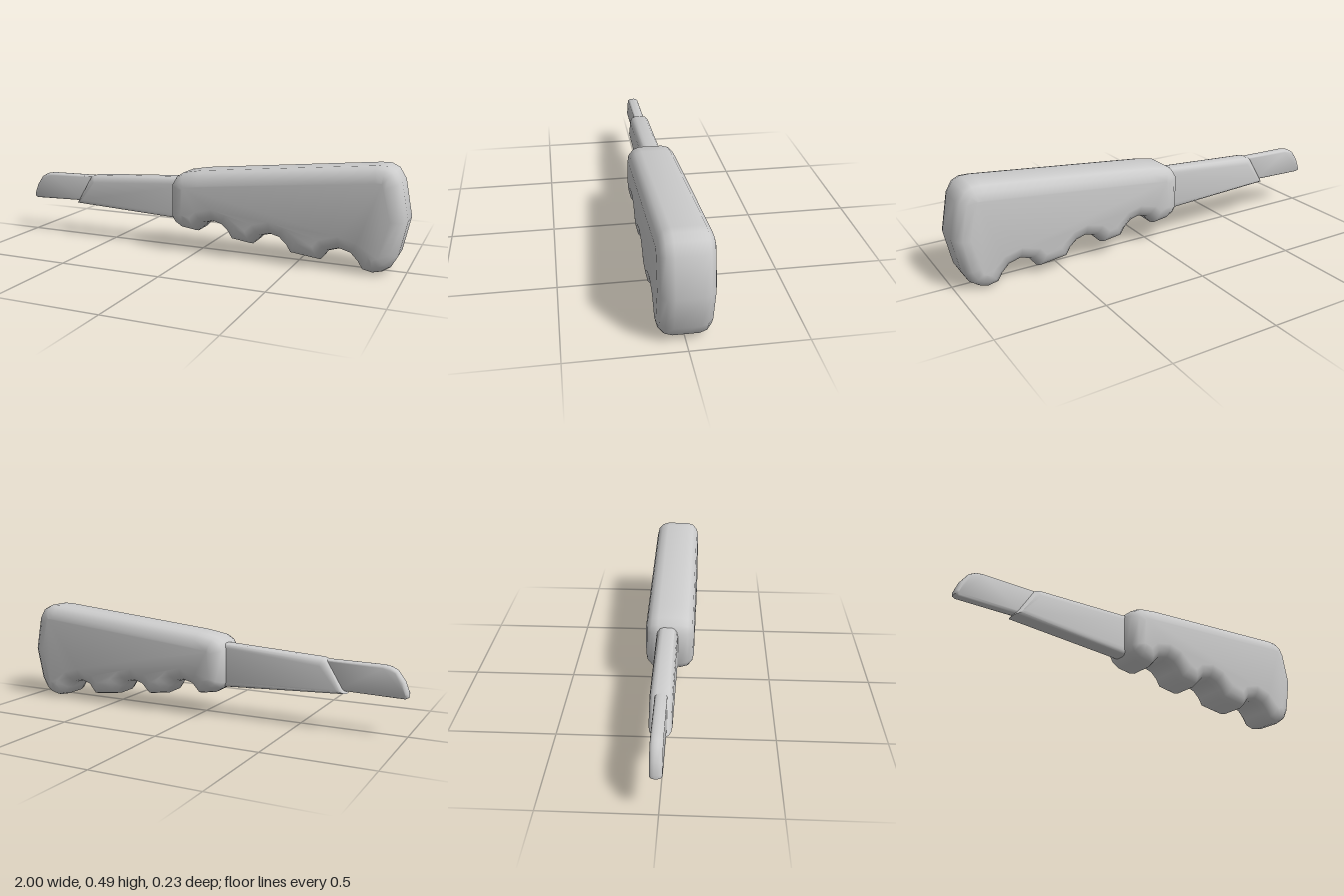
import * as THREE from 'three';
import { toCreasedNormals } from 'three/addons/utils/BufferGeometryUtils.js';

// Slab with rounded rims: the outline is its full silhouette, z0..z1 its thickness
function roundedSlab(name, outline, z0, z1, bevelSize, bevelThickness) {
  const shape = new THREE.Shape(outline.map(([x, y]) => new THREE.Vector2(x, y)));
  const geometry = new THREE.ExtrudeGeometry(shape, {
    depth: z1 - z0 - 2 * bevelThickness,
    bevelSize,
    bevelThickness,
    bevelOffset: -bevelSize,
    bevelSegments: 3,
  });
  geometry.translate(0, 0, z0 + bevelThickness);
  const mesh = new THREE.Mesh(
    toCreasedNormals(geometry, 1.05),
    new THREE.MeshStandardMaterial({ color: 0xcccccc })
  );
  mesh.name = name;
  return mesh;
}

export function createModel() {
  const model = new THREE.Group();
  model.name = 'utilityKnife';

  // Handle, counter-clockwise from the front lower corner
  const handle = [
    [-0.137, 0.17], [-0.12, 0.14], [-0.08, 0.115],
    // first finger notch
    [0, 0.104], [0.04, 0.148], [0.088, 0.16], [0.128, 0.149], [0.158, 0.122], [0.182, 0.084],
    // second finger notch
    [0.285, 0.07], [0.33, 0.116], [0.377, 0.128], [0.418, 0.117], [0.45, 0.089], [0.474, 0.05],
    // third finger notch
    [0.617, 0.033], [0.655, 0.08], [0.705, 0.095], [0.755, 0.081], [0.787, 0.048],
    // butt end
    [0.81, 0.011], [0.86, 0], [0.9, 0.01], [0.937, 0.035], [0.967, 0.09], [1, 0.25],
    [0.967, 0.42], [0.937, 0.47], [0.9, 0.488], [0.855, 0.488],
    // top edge and front upper corner
    [0.01, 0.404], [-0.08, 0.388], [-0.115, 0.366], [-0.137, 0.33],
  ];
  model.add(roundedSlab('handle', handle, -0.117, 0.117, 0.067, 0.062));

  // Tapered sleeve with a slanted mouth, set into the handle
  const sleeve = [[-0.722, 0.17], [0, 0.136], [0, 0.364], [-0.61, 0.327], [-0.633, 0.318]];
  model.add(roundedSlab('sleeve', sleeve, -0.061, 0.04, 0.035, 0.032));

  // Blade with a curved tip
  const blade = [
    [-1, 0.182], [-0.985, 0.174], [-0.69, 0.182], [-0.61, 0.322], [-0.885, 0.318],
    [-0.918, 0.312], [-0.947, 0.296], [-0.98, 0.25], [-1, 0.2],
  ];
  model.add(roundedSlab('blade', blade, -0.037, 0.016, 0.013, 0.02));

  return model;
}
